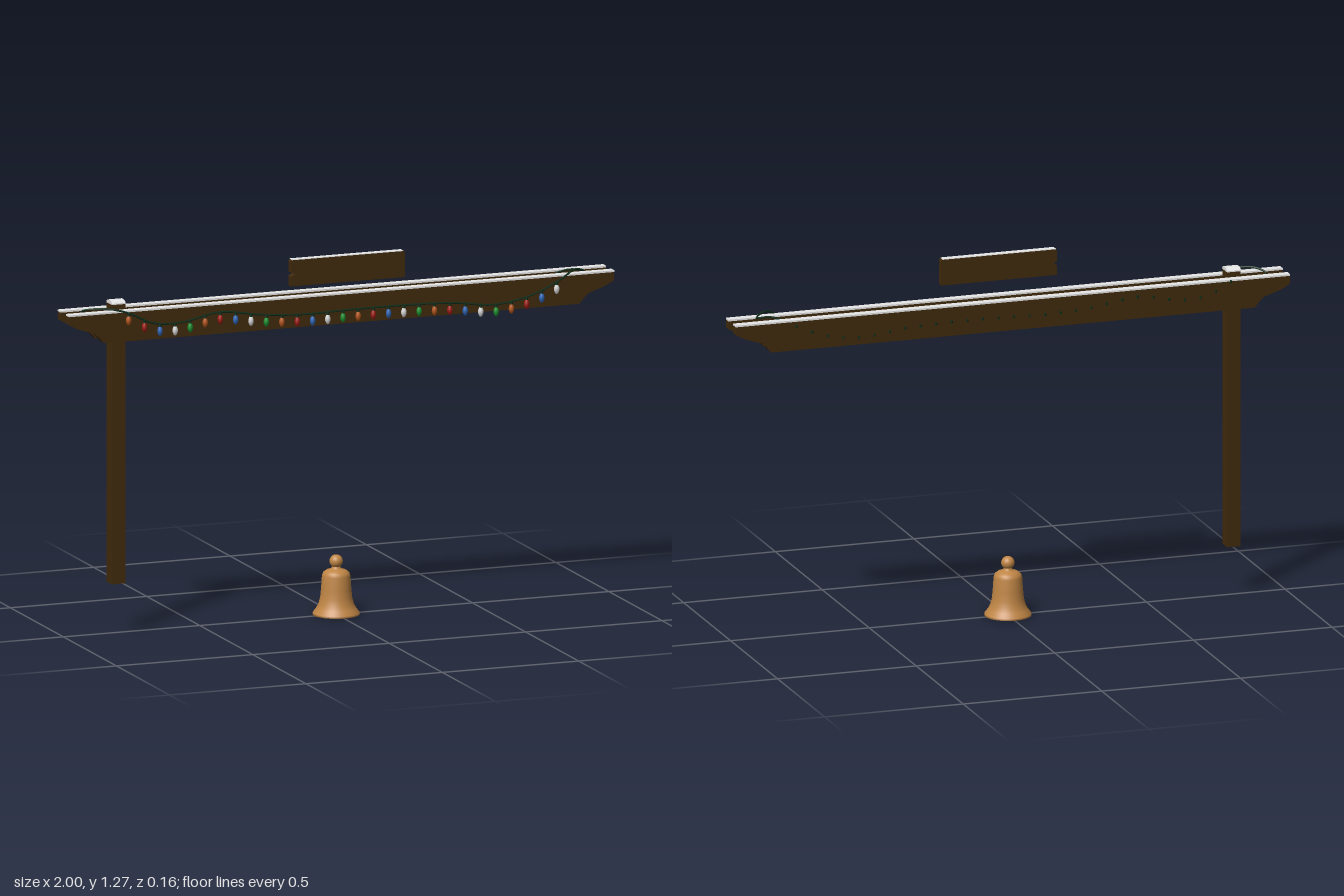
import * as THREE from 'three';

const mat = (name, color, side = THREE.FrontSide) => {
  const m = new THREE.MeshStandardMaterial({ color, side });
  m.name = name;
  return m;
};

export function createModel() {
  const model = new THREE.Group();
  model.name = 'bellGate';
  const wood = mat('darkWood', 0x412a0c);
  const snow = mat('snow', 0xececec);
  const bronze = mat('bronze', 0xbf8545, THREE.DoubleSide);
  const wire = mat('wireGreen', 0x0b2c17);
  const bulbMats = [
    mat('greenBulb', 0x1a8f2c), mat('orangeBulb', 0xb5561c), mat('redBulb', 0xa01c14),
    mat('blueBulb', 0x2f66b8), mat('whiteBulb', 0xd8d8d8),
  ];

  const add = (name, geo, material, x = 0, y = 0, z = 0, parent = model) => {
    const m = new THREE.Mesh(geo, material);
    m.name = name;
    m.position.set(x, y, z);
    parent.add(m);
    return m;
  };
  const box = (name, material, w, h, d, x, y, z) =>
    add(name, new THREE.BoxGeometry(w, h, d), material, x, y, z);
  const extrude = (pts, depth) => new THREE.ExtrudeGeometry(
    new THREE.Shape(pts.map(p => new THREE.Vector2(...p))), { depth, bevelEnabled: false });

  // Post with a rounded snow cap
  box('post', wood, 0.049, 0.977, 0.05, -0.807, 0.6635, 0);
  const cap = [[-0.026, 0], [0.026, 0], [0.026, 0.004], [0.021, 0.01], [0.01, 0.013],
    [-0.01, 0.013], [-0.021, 0.01], [-0.026, 0.004]];
  add('postSnow', extrude(cap, 0.05), snow, -0.832, 1.152, 0).rotation.y = Math.PI / 2;

  // Twin beams with carved ends
  const end = [[0.872, 1.027], [0.89, 1.048], [0.905, 1.062], [0.93, 1.07], [0.97, 1.084], [0.999, 1.1], [0.999, 1.128]];
  const beamPts = [...end, ...end.slice().reverse().map(([x, y]) => [-x, y])];
  for (const [side, z] of [['front', 0.023], ['back', -0.055]]) {
    add(side + 'Beam', extrude(beamPts, 0.029), wood, 0, 0, z);
    box(side + 'BeamSnow', snow, 2, 0.006, 0.029, 0, 1.131, z + 0.0145);
  }

  // Sign board with a split at one end
  const sign = [[-0.195, 1.177], [0.222, 1.177], [0.222, 1.264], [0.218, 1.268], [-0.191, 1.268],
    [-0.195, 1.262], [-0.195, 1.225], [-0.18, 1.218], [-0.195, 1.21]];
  add('signBoard', extrude(sign, 0.026), wood, 0, 0, 0.05);
  box('signSnow', snow, 0.408, 0.002, 0.025, 0.0135, 1.269, 0.063);

  // Light string looping over both beam ends
  const path = [
    [-0.925, 1.12, -0.025], [-0.928, 1.134, 0], [-0.9, 1.144, 0.03], [-0.84, 1.142, 0.052],
    [-0.78, 1.125, 0.06], [-0.7, 1.088, 0.067], [-0.6, 1.08, 0.066], [-0.45, 1.104, 0.06],
    [-0.3, 1.084, 0.062], [-0.15, 1.074, 0.066], [0.03, 1.076, 0.064], [0.2, 1.076, 0.062],
    [0.4, 1.07, 0.064], [0.56, 1.053, 0.068], [0.7, 1.078, 0.067], [0.8, 1.12, 0.06],
    [0.86, 1.147, 0.04], [0.902, 1.133, 0.018], [0.86, 1.138, -0.002], [0.81, 1.125, -0.02],
  ].map(p => new THREE.Vector3(...p));
  const curve = new THREE.CatmullRomCurve3(path);
  add('lightString', new THREE.TubeGeometry(curve, 160, 0.0036, 6), wire);

  // Height and depth of the string at a given x
  const samples = curve.getPoints(400).filter(p => p.z > 0.045);
  const at = x => samples.reduce((a, b) => (Math.abs(b.x - x) < Math.abs(a.x - x) ? b : a));

  // Bulbs along the front, bare sockets along the back
  const bulbGeo = new THREE.LatheGeometry([[0, -0.043], [0.005, -0.04], [0.0095, -0.029],
    [0.009, -0.019], [0.005, -0.009]].map(p => new THREE.Vector2(...p)), 10);
  const socketGeo = new THREE.CylinderGeometry(0.0045, 0.0055, 0.01, 8);
  const backSocketGeo = new THREE.CylinderGeometry(0.004, 0.004, 0.009, 8);
  const lights = new THREE.Group();
  lights.name = 'lights';
  model.add(lights);
  for (let k = -14; k <= 14; k++) {
    const x = k * 0.056;
    const p = at(x);
    add('socket', socketGeo, wire, x, p.y - 0.005, p.z, lights);
    add('bulb', bulbGeo, bulbMats[(k + 15) % 5], x, p.y, p.z, lights);
    add('backSocket', backSocketGeo, wire, x, p.y + 0.002, -p.z - 0.001, lights);
  }

  // Hollow bell and its knob
  const bell = [[0, 0.145], [0.028, 0.142], [0.038, 0.13], [0.044, 0.07], [0.053, 0.035], [0.076, 0],
    [0.081, 0.001], [0.08, 0.008], [0.069, 0.022], [0.061, 0.037], [0.055, 0.06], [0.052, 0.09],
    [0.049, 0.135], [0.045, 0.147], [0.034, 0.155], [0.021, 0.159], [0.015, 0.164], [0.014, 0.172]];
  add('bell', new THREE.LatheGeometry(bell.map(p => new THREE.Vector2(...p)), 40), bronze);
  add('bellKnob', new THREE.SphereGeometry(0.023, 24, 16), bronze, 0, 0.186, 0);

  return model;
}
